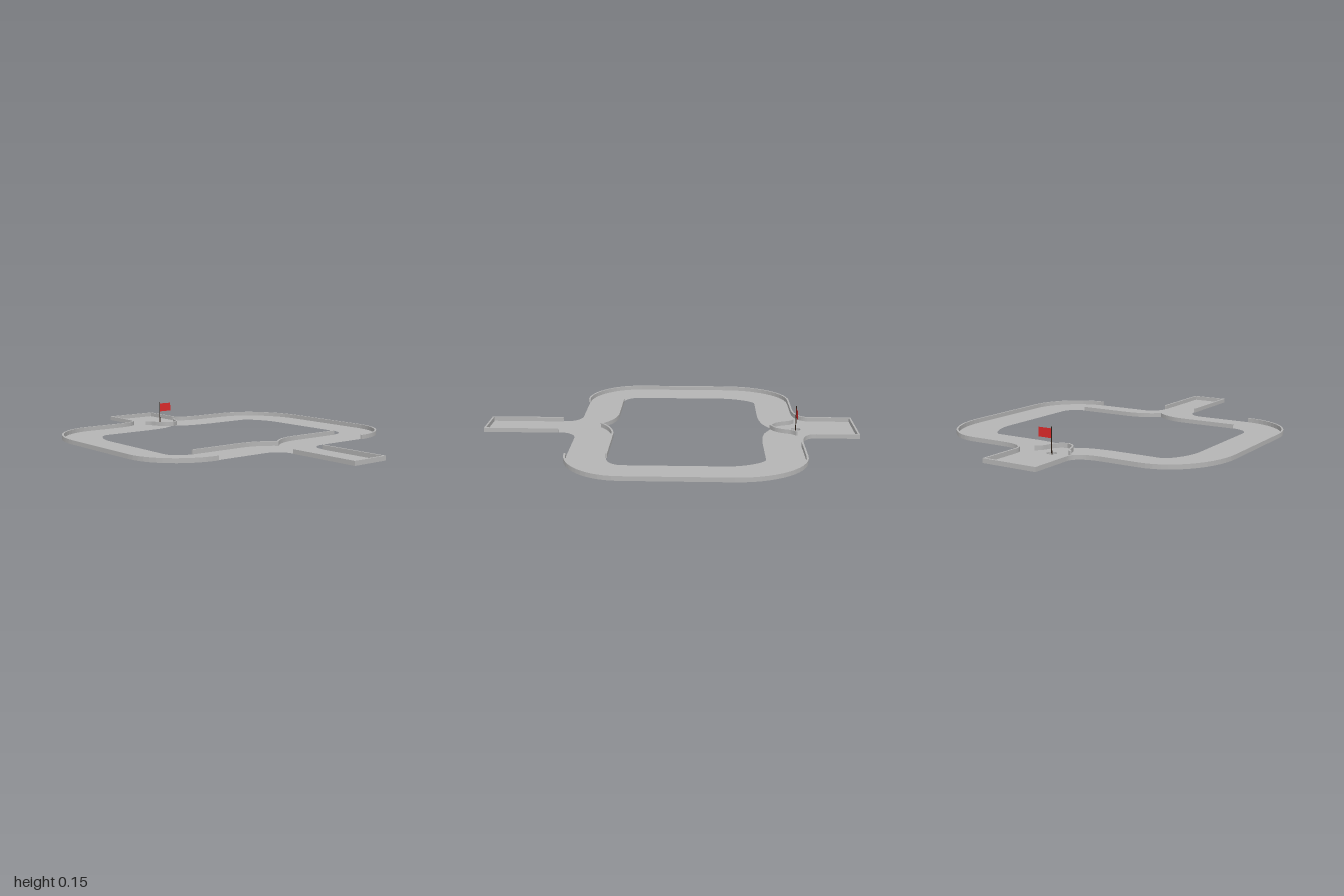
import * as THREE from 'three';

const FLOOR = 0.02, TOP = 0.043, THICK = 0.01;
const CUP_Z = -0.68, CUP_R = 0.026;

const mat = (name, color, side = THREE.FrontSide) =>
  Object.assign(new THREE.MeshStandardMaterial({ color, side }), { name });

// Plan points: each step is a corner [x, z] or a quarter bend [x, z, startsAlongX, roundness]
function trace(steps) {
  const path = new THREE.Path();
  path.moveTo(...steps[0]);
  for (const [x, z, alongX, k = 0.55] of steps.slice(1)) {
    if (alongX === undefined) { path.lineTo(x, z); continue; }
    const { x: px, y: pz } = path.currentPoint;
    const dx = (x - px) * k, dz = (z - pz) * k;
    if (alongX) path.bezierCurveTo(px + dx, pz, x, z - dz, x, z);
    else path.bezierCurveTo(px, pz + dz, x - dx, z, x, z);
  }
  return path.getPoints(14);
}

const mirror = (pts) => pts.map((p) => new THREE.Vector2(-p.x, p.y)).reverse();

// Constant-width strip around an open plan line, with mitred corners
function wallGeometry(line) {
  const pts = line.filter((p, i) => i === 0 || p.distanceTo(line[i - 1]) > 1e-4);
  const left = [], right = [];
  pts.forEach((p, i) => {
    const a = pts[Math.max(i - 1, 0)], b = pts[Math.min(i + 1, pts.length - 1)];
    const d1 = (i ? p.clone().sub(a) : b.clone().sub(p)).normalize();
    const d2 = (i < pts.length - 1 ? b.clone().sub(p) : d1.clone()).normalize();
    const n1 = new THREE.Vector2(-d1.y, d1.x);
    const n = new THREE.Vector2(-d1.y - d2.y, d1.x + d2.x).normalize();
    n.multiplyScalar(THICK / 2 / Math.max(n.dot(n1), 0.4));
    left.push(p.clone().add(n));
    right.push(p.clone().sub(n));
  });
  const geo = new THREE.ExtrudeGeometry(new THREE.Shape([...left, ...right.reverse()]),
    { depth: TOP - FLOOR, bevelEnabled: false });
  return geo.rotateX(Math.PI / 2).translate(0, TOP, 0);
}

export function createModel() {
  const group = new THREE.Group();
  group.name = 'miniGolfCourse';
  const grey = mat('courseGrey', 0xb4b4b4, THREE.DoubleSide);
  const red = mat('flagRed', 0xdc2a2a, THREE.DoubleSide);
  const dark = mat('poleDark', 0x2a1c12);
  const add = (name, geo, material) => {
    const mesh = new THREE.Mesh(geo, material);
    mesh.name = name;
    group.add(mesh);
    return mesh;
  };

  // Left half of the outer edge, from the back tee round to the front corner
  const outerLeft = trace([
    [0, -0.995], [-0.148, -0.995], [-0.148, -0.77], [-0.3, -0.685, false, 0.65],
    [-0.49, -0.685], [-0.79, -0.32, true], [-0.79, 0.21], [-0.49, 0.503, false],
  ]);
  const entryLeft = trace([[-0.49, 0.5], [-0.19, 0.5], [-0.1, 0.59, true], [-0.1, 0.995]]);

  // Left half of the central opening
  const innerBack = trace([
    [0, -0.545], [-0.08, -0.505], [-0.14, -0.492], [-0.22, -0.485],
    [-0.49, -0.485], [-0.59, -0.29, true, 0.42], [-0.59, 0.21], [-0.49, 0.3, false],
  ]);
  const peak = new THREE.QuadraticBezierCurve(
    new THREE.Vector2(-0.19, 0.3), new THREE.Vector2(-0.08, 0.3), new THREE.Vector2(0, 0.375)).getPoints(12);
  const innerFront = [new THREE.Vector2(-0.49, 0.3), ...peak];

  // Floor with the central opening and the cup hole
  const outer = [...outerLeft, ...entryLeft];
  const inner = [...innerBack, ...innerFront];
  const floor = new THREE.Shape([...outer, ...mirror(outer).slice(0, -1)]);
  floor.holes.push(new THREE.Path([...inner, ...mirror(inner).slice(1, -1)]));
  floor.holes.push(new THREE.Path().absarc(0, CUP_Z, CUP_R, 0, Math.PI * 2));
  add('floor', new THREE.ShapeGeometry(floor, 12).rotateX(Math.PI / 2).translate(0, FLOOR, 0), grey);

  // Border walls
  add('outerWall', wallGeometry([...mirror(outerLeft), ...outerLeft]), grey);
  add('innerWall', wallGeometry([...innerFront, ...mirror(innerFront)]), grey);
  add('entryWall', wallGeometry(trace([[-0.1, 0.6], [-0.1, 0.995], [0.1, 0.995], [0.1, 0.6]])), grey);

  // V-shaped deflector in front of the cup
  const wing = new THREE.SplineCurve([[-0.108, -0.675], [-0.082, -0.65], [-0.065, -0.605],
    [-0.04, -0.568], [0, -0.545]].map(([x, z]) => new THREE.Vector2(x, z))).getPoints(20);
  add('deflectorWall', wallGeometry([...wing, ...mirror(wing)]), grey);

  // Cup, pole and flag
  add('cupSide', new THREE.CylinderGeometry(CUP_R, CUP_R, FLOOR, 24, 1, true), grey)
    .position.set(0, FLOOR / 2, CUP_Z);
  add('cupBottom', new THREE.CircleGeometry(CUP_R, 24).rotateX(-Math.PI / 2), grey)
    .position.set(0, 0, CUP_Z);
  add('flagPole', new THREE.CylinderGeometry(0.0025, 0.0025, 0.15, 8), dark)
    .position.set(0, 0.075, CUP_Z);
  add('flag', new THREE.PlaneGeometry(0.076, 0.048), red)
    .position.set(0.04, 0.117, CUP_Z);
  return group;
}
